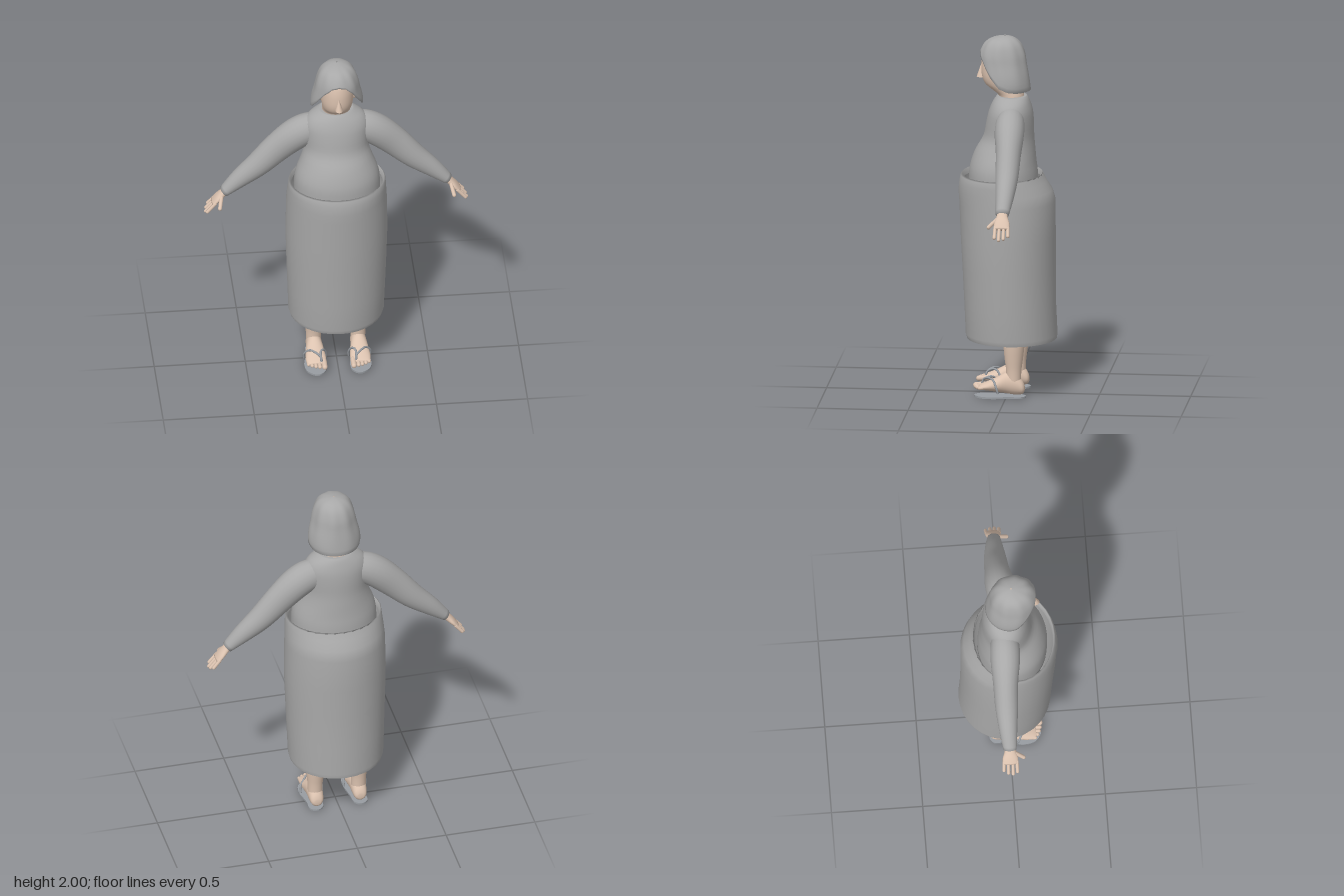
import * as THREE from 'three';

const V = (x, y, z) => new THREE.Vector3(x, y, z);
const SEG = 32;

// Smoothly resample rows of numbers, n steps per gap
function resample(rows, n) {
  const out = [], at = i => rows[Math.min(Math.max(i, 0), rows.length - 1)];
  for (let i = 0; i < rows.length - 1; i++) for (let k = 0; k < n; k++) {
    const t = k / n;
    out.push(rows[i].map((p, c) => {
      const a = at(i - 1)[c], q = at(i + 1)[c], d = at(i + 2)[c];
      return p + 0.5 * t * (q - a + t * (2 * a - 5 * p + 4 * q - d + t * (3 * (p - q) + d - a)));
    }));
  }
  out.push(rows[rows.length - 1]);
  return out;
}

// Skin closed rings of points into one smooth surface
function loft(rings, cap = true) {
  if (cap) {
    const collapse = r => {
      const c = V(0, 0, 0);
      r.forEach(p => c.addScaledVector(p, 1 / r.length));
      return r.map(() => c);
    };
    rings = [collapse(rings[0]), ...rings, collapse(rings[rings.length - 1])];
  }
  const m = rings[0].length, idx = [];
  for (let i = 0; i < rings.length - 1; i++) for (let j = 0; j < m; j++) {
    const a = i * m + j, b = i * m + (j + 1) % m;
    idx.push(a, b, b + m, a, b + m, a + m);
  }
  const g = new THREE.BufferGeometry().setFromPoints(rings.flat());
  g.setIndex(idx);
  g.computeVertexNormals();
  return g;
}
const ring = (fn, m = SEG) => Array.from({ length: m }, (_, j) => fn(j / m * Math.PI * 2));

// Upright body: rows of [y, half width, front z, back z]
const upright = (rows, n, cap) => loft(resample(rows, n).map(([y, w, f, b]) =>
  ring(a => V(w * Math.sin(a), y, (f + b) / 2 + (f - b) / 2 * Math.cos(a)))), cap);

// Limb in the xy plane: rows of [x, y, z, in-plane radius, z radius]
function limb(rows, n = 4) {
  const r = resample(rows, n);
  return loft(r.map(([x, y, z, p, q], i) => {
    const s = r[Math.max(i - 1, 0)], e = r[Math.min(i + 1, r.length - 1)];
    const t = V(e[0] - s[0], e[1] - s[1], 0).normalize();
    return ring(a => V(x - t.y * p * Math.cos(a), y + t.x * p * Math.cos(a), z + q * Math.sin(a)), 20);
  }));
}

export function createModel() {
  const mat = (name, color, side = THREE.FrontSide) => {
    const m = new THREE.MeshStandardMaterial({ color, side });
    m.name = name;
    return m;
  };
  const cloth = mat('grey cloth', 0xa8a8a8, THREE.DoubleSide);
  const skin = mat('skin', 0xdcc3b0);
  const sandalGrey = mat('sandal grey', 0x989ca1);

  const root = new THREE.Group();
  root.name = 'woman';
  const add = (parent, name, geo, material) => {
    const mesh = new THREE.Mesh(geo, material);
    mesh.name = name;
    parent.add(mesh);
    return mesh;
  };
  // Rounded finger or toe from a to b
  const digit = (parent, name, a, b, r) => {
    const d = b.clone().sub(a);
    const mesh = add(parent, name, new THREE.CapsuleGeometry(r, d.length(), 4, 10), skin);
    mesh.position.copy(a).add(b).multiplyScalar(0.5);
    mesh.quaternion.setFromUnitVectors(V(0, 1, 0), d.normalize());
  };

  // Long skirt, open at both ends, with a folded waistband
  add(root, 'skirt', upright([
    [0.31, 0.255, 0.226, -0.265], [0.335, 0.262, 0.235, -0.268], [0.5, 0.268, 0.242, -0.26],
    [0.7, 0.275, 0.252, -0.258], [0.88, 0.28, 0.262, -0.258], [1.08, 0.276, 0.27, -0.258],
    [1.14, 0.272, 0.275, -0.24], [1.19, 0.268, 0.27, -0.207], [1.225, 0.265, 0.262, -0.19],
    [1.232, 0.258, 0.255, -0.186], [1.2, 0.25, 0.247, -0.18]], 1, false), cloth);

  // Sweater body
  add(root, 'sweater', upright([
    [1.1, 0.235, 0.215, -0.165], [1.23, 0.235, 0.217, -0.16], [1.3, 0.222, 0.205, -0.152],
    [1.37, 0.195, 0.178, -0.146], [1.44, 0.175, 0.138, -0.14], [1.52, 0.178, 0.122, -0.138],
    [1.58, 0.178, 0.108, -0.132], [1.625, 0.155, 0.09, -0.12], [1.655, 0.115, 0.072, -0.108],
    [1.668, 0.092, 0.06, -0.098]], 3, true), cloth);

  // Neck and head
  add(root, 'head', upright([
    [1.62, 0.08, 0.045, -0.09], [1.67, 0.078, 0.055, -0.085], [1.7, 0.078, 0.09, -0.08],
    [1.73, 0.082, 0.127, -0.078], [1.77, 0.088, 0.145, -0.075], [1.82, 0.09, 0.15, -0.073],
    [1.87, 0.089, 0.148, -0.07], [1.92, 0.08, 0.135, -0.06], [1.955, 0.055, 0.095, -0.035],
    [1.97, 0.02, 0.05, 0.01]], 3, true), skin);
  const nose = add(root, 'nose', new THREE.ConeGeometry(0.021, 0.075, 12), skin);
  nose.position.set(0, 1.803, 0.15);
  nose.scale.z = 1.25;

  // Hair: a flared bob whose lower edge rises over the face
  const profile = resample([
    [1.69, 0.132, 0.15, -0.122], [1.72, 0.144, 0.152, -0.12], [1.78, 0.14, 0.155, -0.112],
    [1.85, 0.124, 0.162, -0.1], [1.9, 0.114, 0.16, -0.092], [1.95, 0.096, 0.137, -0.072],
    [1.98, 0.07, 0.105, -0.045], [1.995, 0.035, 0.06, -0.015], [2, 0.004, 0.024, 0.016]], 4);
  const profileAt = y => {
    const i = Math.max(1, profile.findIndex(r => r[0] >= y - 1e-9));
    const p = profile[i - 1], q = profile[i], t = (y - p[0]) / (q[0] - p[0]);
    return p.map((v, c) => v + (q[c] - v) * t);
  };
  const edges = [1.915, 1.905, 1.86, 1.785, 1.73, 1.708, 1.7, 1.7, 1.7, 1.7];
  const edgeAt = a => {
    const s = Math.acos(Math.cos(a)) / Math.PI * 9, i = Math.min(8, Math.floor(s));
    return edges[i] + (edges[i + 1] - edges[i]) * (s - i);
  };
  const hairRing = (v, shrink) => ring(a => {
    const e = edgeAt(a), [y, w, f, b] = profileAt(e + (2 - e) * (1 - (1 - v) ** 1.6));
    const k = shrink * (1 + 0.022 * Math.sin(9 * a + 2 * v) * Math.sin(Math.PI * v));
    return V(w * k * Math.sin(a), y, (f + b) / 2 + (f - b) / 2 * k * Math.cos(a));
  }, 54);
  const hairRings = [hairRing(0.05, 0.9), hairRing(0, 0.93)];
  for (let i = 0; i <= 18; i++) hairRings.push(hairRing(i / 18, 1));
  add(root, 'hair', loft(hairRings, false), cloth);

  // Limbs, built once for each side and mirrored
  for (const side of [1, -1]) {
    const g = new THREE.Group();
    g.name = side > 0 ? 'leftSide' : 'rightSide';
    g.scale.x = side;
    root.add(g);

    const ear = add(g, 'ear', new THREE.SphereGeometry(0.025, 12, 10), skin);
    ear.scale.set(0.5, 1.2, 0.8);
    ear.position.set(0.092, 1.79, 0.03);

    add(g, 'sleeve', limb([
      [0.1, 1.545, -0.025, 0.085, 0.07], [0.165, 1.53, -0.025, 0.09, 0.08],
      [0.235, 1.487, -0.028, 0.09, 0.08], [0.325, 1.405, -0.033, 0.083, 0.069],
      [0.425, 1.303, -0.035, 0.07, 0.063], [0.53, 1.213, -0.034, 0.052, 0.05],
      [0.615, 1.135, -0.03, 0.03, 0.036]]), cloth);

    // Hand with four fingers and a thumb
    add(g, 'palm', limb([
      [0.6, 1.15, -0.03, 0.022, 0.027], [0.625, 1.122, -0.03, 0.02, 0.032],
      [0.65, 1.095, -0.031, 0.017, 0.042], [0.675, 1.066, -0.032, 0.012, 0.042]]), skin);
    [[-0.066, 0.7, 1.035], [-0.043, 0.712, 1.022], [-0.019, 0.716, 1.016], [0.004, 0.708, 1.026]]
      .forEach(([z, x, y]) => digit(g, 'finger', V(0.665, 1.076, z), V(x, y, z * 1.05), 0.0095));
    digit(g, 'thumb', V(0.63, 1.115, -0.005), V(0.643, 1.07, 0.042), 0.011);

    // Leg
    const leg = resample([
      [0.07, 0.122, 0.04, -0.04], [0.15, 0.122, 0.042, -0.041], [0.22, 0.121, 0.051, -0.041],
      [0.31, 0.122, 0.059, -0.042], [0.45, 0.122, 0.062, -0.042], [0.7, 0.12, 0.08, -0.03],
      [1.15, 0.115, 0.1, -0.01]], 3);
    add(g, 'leg', loft(leg.map(([y, x, r, z]) =>
      ring(a => V(x + r * Math.sin(a), y, z + r * Math.cos(a)), 24))), skin);

    // Foot: rows of [z, half width, bottom y, top y]
    const foot = resample([
      [-0.1, 0.018, 0.035, 0.065], [-0.088, 0.034, 0.02, 0.095], [-0.05, 0.042, 0.016, 0.135],
      [0, 0.045, 0.023, 0.14], [0.05, 0.052, 0.03, 0.112], [0.1, 0.056, 0.037, 0.088],
      [0.135, 0.052, 0.042, 0.073], [0.148, 0.045, 0.046, 0.066]], 3);
    add(g, 'foot', loft(foot.map(([z, w, b, t]) =>
      ring(a => V(0.122 + w * Math.cos(a), (b + t) / 2 + (t - b) / 2 * Math.sin(a), z), 24))), skin);
    [[0.08, 0.172, 0.015], [0.106, 0.17, 0.011], [0.127, 0.164, 0.0105], [0.147, 0.155, 0.01], [0.166, 0.142, 0.0095]]
      .forEach(([x, z, r]) => digit(g, 'toe', V(x, 0.06, z - 0.05), V(x, 0.055, z), r));

    // Sandal sole and thong straps
    const outline = [[0.125, -0.109], [0.162, -0.085], [0.165, -0.02], [0.184, 0.08], [0.168, 0.145],
      [0.115, 0.177], [0.073, 0.145], [0.067, 0.07], [0.08, -0.02], [0.088, -0.085]];
    const curve = new THREE.CatmullRomCurve3(outline.map(([x, z]) => V(x, -z, 0)), true);
    const sole = new THREE.ExtrudeGeometry(new THREE.Shape(
      curve.getPoints(48).slice(0, -1).map(p => new THREE.Vector2(p.x, p.y))), { depth: 0.01, bevelEnabled: false });
    add(g, 'sandalSole', sole.rotateX(-Math.PI / 2), sandalGrey);
    for (const [x1, x2] of [[0.078, 0.062], [0.155, 0.182]]) {
      const path = new THREE.CatmullRomCurve3([V(0.094, 0.045, 0.14), V(0.097, 0.09, 0.128),
        V((x1 + 0.11) / 2, 0.107, 0.095), V(x1, 0.1, 0.07), V(x2, 0.065, 0.05), V(x2, 0.03, 0.04)]);
      add(g, 'sandalStrap', new THREE.TubeGeometry(path, 24, 0.006, 8), sandalGrey);
    }
  }
  return root;
}
